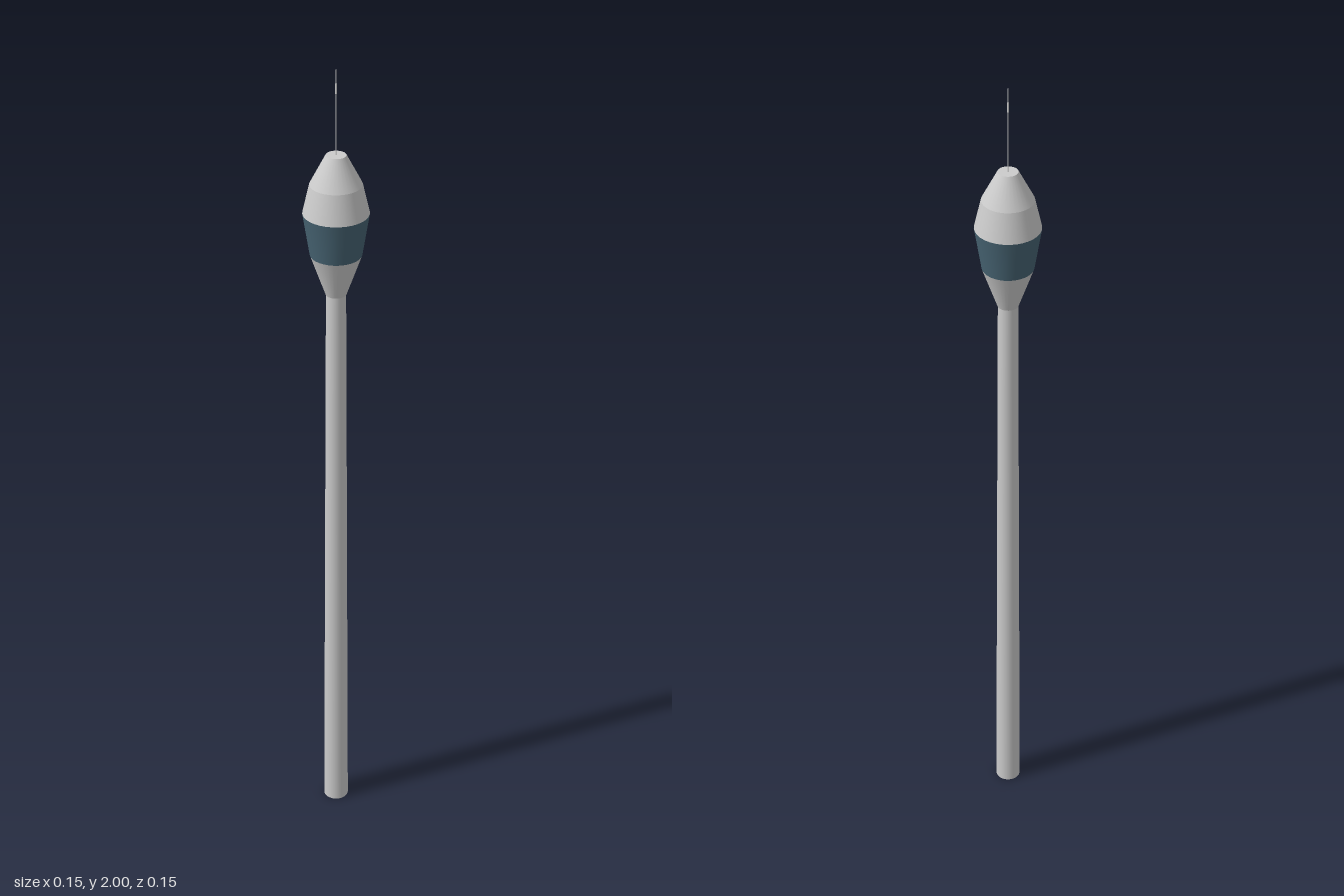
import * as THREE from 'three';

const SIDES = 32;

export function createModel() {
  const tower = new THREE.Group();
  tower.name = 'tower';
  const grey = new THREE.MeshStandardMaterial({ color: 0xcccccc });
  const glass = new THREE.MeshStandardMaterial({ color: 0x476473 });

  // Round section standing between two heights
  function section(name, yBottom, yTop, rBottom, rTop, material = grey, open = false, sides = SIDES) {
    const geometry = new THREE.CylinderGeometry(rTop, rBottom, yTop - yBottom, sides, 1, open);
    const mesh = new THREE.Mesh(geometry, material);
    mesh.name = name;
    mesh.position.y = (yBottom + yTop) / 2;
    tower.add(mesh);
  }

  // Tapering shaft
  section('shaft', 0, 1.465, 0.031, 0.023);

  // Head: flared base, glazed band, two-stage roof
  section('headBase', 1.465, 1.565, 0.024, 0.059);
  section('windowBand', 1.565, 1.666, 0.059, 0.075, glass);
  section('lowerRoof', 1.666, 1.735, 0.075, 0.059);
  section('upperRoof', 1.735, 1.804, 0.059, 0.023);

  // Needle-thin mast with a small beacon
  section('mast', 1.804, 2, 0.0015, 0.001, grey, false, 8);
  section('beacon', 1.945, 1.968, 0.002, 0.002, grey, false, 8);

  return tower;
}
